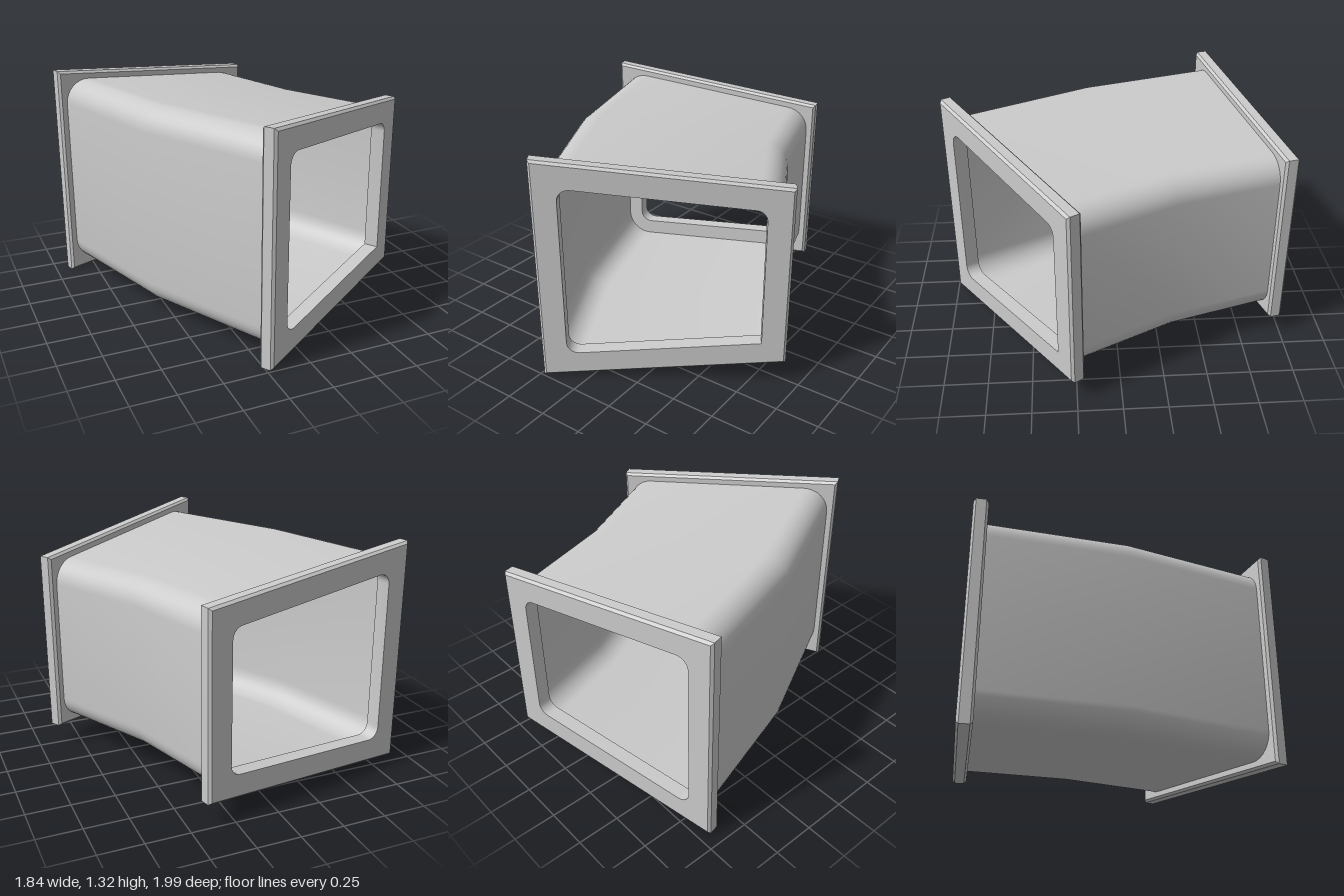
import * as THREE from 'three';
import { toCreasedNormals } from 'three/addons/utils/BufferGeometryUtils.js';

const HALF_WIDTH = 0.68, HALF_HEIGHT = 0.595, TAPER = 0.0956, MID_Y = 0.66;
const THICK = 0.085, CHAMFER = 0.014, ARC = 8;

// Tapered outline, moved inwards by inset; radii run from top right counter-clockwise
function outline(inset, radii, z = 0) {
  const top = Math.atan2(1, TAPER);
  const corners = [
    [1, 1, 0, top], [-1, 1, top, Math.PI],
    [-1, -1, Math.PI, 2 * Math.PI - top], [1, -1, 2 * Math.PI - top, 2 * Math.PI],
  ];
  const points = [];
  corners.forEach(([sx, sy, from, to], c) => {
    const r = radii[c], d = inset + r;
    const x = sx * (HALF_WIDTH - d);
    const y = sy * (HALF_HEIGHT - TAPER * x - d * Math.hypot(1, TAPER));
    for (let i = 0; i <= ARC; i++) {
      const a = from + (to - from) * i / ARC;
      points.push(new THREE.Vector3(x + r * Math.cos(a), y + r * Math.sin(a), z));
    }
  });
  return points;
}

// Skin over closed loops with equal point counts
function loft(loops, crease) {
  const n = loops[0].length, index = [];
  for (let i = 0; i < loops.length - 1; i++) {
    for (let j = 0; j < n; j++) {
      const k = (j + 1) % n;
      const a = i * n + j, b = i * n + k, c = b + n, d = a + n;
      index.push(a, b, c, a, c, d);
    }
  }
  const geometry = new THREE.BufferGeometry().setFromPoints(loops.flat());
  geometry.setIndex(index);
  return toCreasedNormals(geometry, crease);
}

// Chamfered slab with a rounded opening
function flangeGeometry(openingRadii) {
  const sharp = [0, 0, 0, 0], h = THICK / 2;
  const back = outline(CHAMFER, sharp, -h);
  return loft([
    back,
    outline(0, sharp, -h + CHAMFER),
    outline(0, sharp, h - CHAMFER),
    outline(CHAMFER, sharp, h),
    outline(0.14, openingRadii, h),
    outline(0.14, openingRadii, -h),
    back,
  ], Math.PI / 6);
}

export function createModel() {
  const group = new THREE.Group();
  const material = new THREE.MeshStandardMaterial({ color: 0xcccccc });
  const sheet = new THREE.MeshStandardMaterial({ color: 0xcccccc, side: THREE.DoubleSide });

  // Each station: position in plan and turn about y
  const front = { x: 0.328, z: 0.6, turn: THREE.MathUtils.degToRad(32.3) };
  const middle = { x: -0.03, z: -0.085, turn: THREE.MathUtils.degToRad(22.5) };
  const rear = { x: -0.253, z: -0.805, turn: THREE.MathUtils.degToRad(13.1) };

  // End flanges
  const addFlange = (name, station, radii) => {
    const mesh = new THREE.Mesh(flangeGeometry(radii), material);
    mesh.name = name;
    mesh.position.set(station.x, MID_Y, station.z);
    mesh.rotation.y = station.turn;
    group.add(mesh);
  };
  addFlange('frontFlange', front, [0.065, 0.065, 0.065, 0]);
  addFlange('rearFlange', rear, [0.065, 0.065, 0.065, 0.065]);

  // Thin bent duct running between the inner faces of the flanges
  const section = (station, offset) => {
    const matrix = new THREE.Matrix4().makeRotationY(station.turn)
      .setPosition(station.x, MID_Y, station.z);
    return outline(0.046, [0.14, 0.14, 0.14, 0.14], offset).map((p) => p.applyMatrix4(matrix));
  };
  const duct = new THREE.Mesh(
    loft([section(rear, THICK / 2), section(middle, 0), section(front, -THICK / 2)], Math.PI / 6),
    sheet,
  );
  duct.name = 'duct';
  group.add(duct);

  return group;
}
